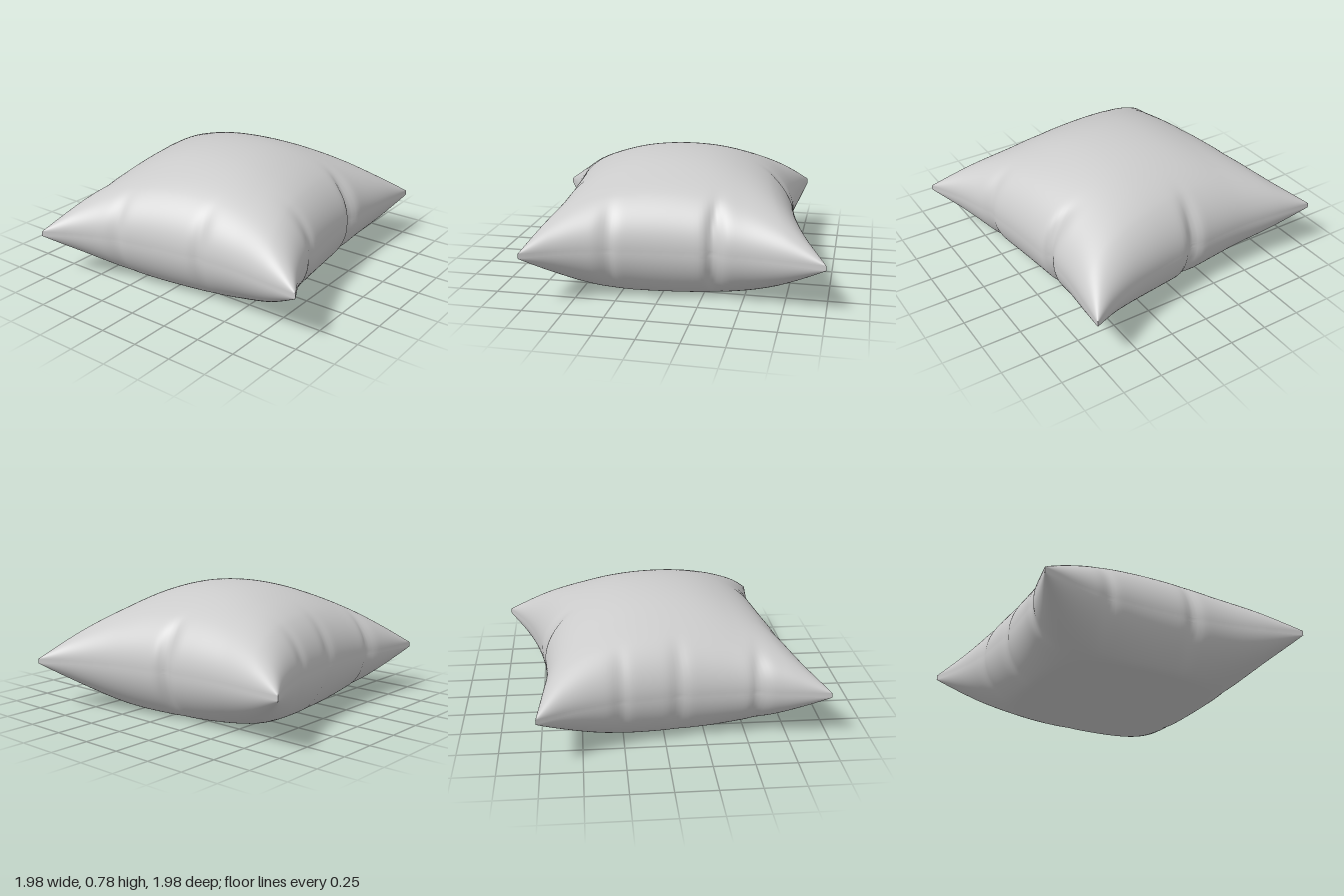
import * as THREE from 'three';

const SEGMENTS = 110;
const SEAM = 0.03;

// One seam edge (x, z), corner to corner; the other three are quarter turns of it
const edge = new THREE.CatmullRomCurve3(
  [[-1, -0.76], [-0.79, -0.735], [-0.53, -0.71], [-0.3, -0.715], [-0.06, -0.738],
    [0.17, -0.775], [0.38, -0.825], [0.57, -0.895], [0.757, -0.992]]
    .map(([x, z]) => new THREE.Vector3(x, 0, z)));

// Fabric puckers along the seam: x, z, depth
const puckers = [
  [-0.1, -0.73, 0.035], [0.69, -0.34, 0.04], [0.8, 0.29, 0.02], [0.27, 0.72, 0.02],
  [-0.31, 0.81, 0.015], [-0.7, 0.57, 0.025], [-0.73, 0.08, 0.015], [-0.8, -0.27, 0.015],
];

function edgePoint(s, quarterTurns) {
  const p = edge.getPoint((s + 1) / 2);
  return p.applyAxisAngle(new THREE.Vector3(0, 1, 0), -quarterTurns * Math.PI / 2);
}

// Blend the four curved edges into a plan position
function planPoint(u, v) {
  const a = (u + 1) / 2, b = (v + 1) / 2;
  const p = new THREE.Vector3()
    .addScaledVector(edgePoint(u, 0), 1 - b)
    .addScaledVector(edgePoint(-u, 2), b)
    .addScaledVector(edgePoint(-v, 3), 1 - a)
    .addScaledVector(edgePoint(v, 1), a);
  for (let k = 0; k < 4; k++) {
    const wu = k === 1 || k === 2 ? a : 1 - a;
    const wv = k >= 2 ? b : 1 - b;
    p.addScaledVector(edgePoint(-1, k), -wu * wv);
  }
  return p;
}

// Pull the fabric inwards around each pucker, in a narrow radial groove
function pucker(p) {
  const { x, z } = p;
  for (const [px, pz, depth] of puckers) {
    const len = Math.hypot(px, pz);
    // Inward direction is square to the nearest side
    const alongX = Math.abs(px) > Math.abs(pz);
    const nx = alongX ? px / Math.abs(px) : 0, nz = alongX ? 0 : pz / Math.abs(pz);
    const across = (x - px) * nz - (z - pz) * nx;
    const radial = (x - px) * nx + (z - pz) * nz;
    const pull = depth * Math.exp(-((across / 0.045) ** 2) - (radial / 0.13) ** 2);
    p.x -= pull * px / len;
    p.z -= pull * pz / len;
  }
}

export function createModel() {
  const group = new THREE.Group();
  group.name = 'pillow';

  // A thin slab: its top and bottom swell up, its sides stay as the seam band
  const geometry = new THREE.BoxGeometry(2, SEAM, 2, SEGMENTS, 1, SEGMENTS);
  const pos = geometry.attributes.position;
  for (let i = 0; i < pos.count; i++) {
    // Closer spacing towards the seam
    const u = Math.sin(pos.getX(i) * Math.PI / 2);
    const v = Math.sin(pos.getZ(i) * Math.PI / 2);
    const side = Math.sign(pos.getY(i));
    const p = planPoint(u, v);
    pucker(p);

    const swell = 0.448 * Math.sqrt(Math.max(0, (1 - u * u) * (1 - v * v)));
    let y = 0.319 + 0.014 * u * v + side * (SEAM / 2 + swell);
    // The underside settles softly onto the floor
    if (side < 0) y = Math.max(0, (y + Math.sqrt(y * y + 0.0006)) / 2 - 0.001);
    pos.setXYZ(i, p.x, y, p.z);
  }
  geometry.computeVertexNormals();
  geometry.computeBoundingBox();
  geometry.translate(0, -geometry.boundingBox.min.y, 0);

  const cushion = new THREE.Mesh(geometry,
    new THREE.MeshStandardMaterial({ color: 0xcccccc }));
  cushion.name = 'cushion';
  group.add(cushion);
  return group;
}
